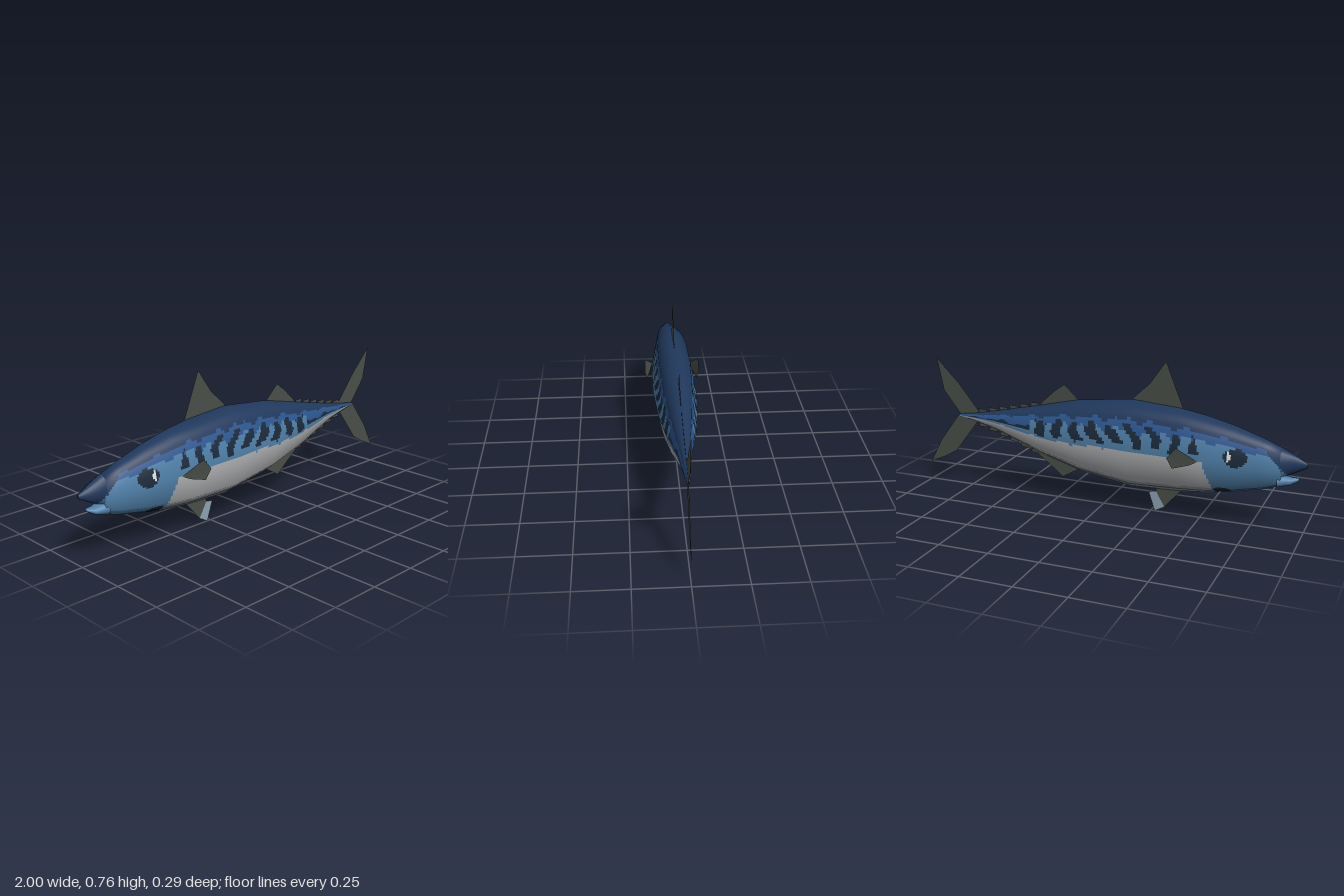
import * as THREE from 'three';

const mat = (name, color, side = THREE.FrontSide) => {
  const m = new THREE.MeshStandardMaterial({ color, side });
  m.name = name;
  return m;
};

// Cross-section from the top round: [half-width factor, height factor]
const RING = [[0, 1], [0.71, 0.853], [1, 0.48], [0.71, 0.142], [0, 0], [-0.71, 0.142], [-1, 0.48], [-0.71, 0.853]];

// Stations along the trunk: [x, bottom, top, half width]
const TRUNK = [
  [-0.885, 0.225, 0.408, 0.046], [-0.8, 0.196, 0.443, 0.064], [-0.66, 0.165, 0.49, 0.085],
  [-0.52, 0.142, 0.525, 0.099], [-0.4, 0.131, 0.545, 0.106], [-0.15, 0.122, 0.565, 0.11],
  [0.12, 0.165, 0.537, 0.096], [0.35, 0.236, 0.484, 0.068], [0.5, 0.294, 0.45, 0.044],
  [0.6, 0.33, 0.428, 0.027], [0.72, 0.362, 0.404, 0.016], [0.81, 0.378, 0.391, 0.005],
];
const UPPER_JAW = [[-1, 0.325, 0.347, 0.008], [-0.95, 0.297, 0.376, 0.026], [-0.88, 0.262, 0.41, 0.046]];
const LOWER_JAW = [[-0.965, 0.258, 0.272, 0.012], [-0.93, 0.235, 0.272, 0.03], [-0.87, 0.218, 0.285, 0.046]];

// Paint indices
const NAVY = 0, BLUE = 1, SKY = 2, SPOT = 3, SILVER = 4, GREY = 5, WHITE = 6;

const inEllipse = (x, y, cx, cy, rx, ry) => ((x - cx) / rx) ** 2 + ((y - cy) / ry) ** 2 < 1;

// Colour of the trunk at x, y; t runs from belly 0 to back 1
function paintTrunk(x, y, t) {
  const wob = Math.sin(x * 37) * 0.02 + Math.sin(x * 71 + 1) * 0.015;
  // head
  if (x < -0.57 + Math.max(0, y - 0.19) * 0.35 && t < 0.8) {
    if (inEllipse(x, y, -0.647, 0.36, 0.01, 0.025)) return WHITE;
    if (inEllipse(x, y, -0.68, 0.355, 0.055, 0.042)) return SPOT;
    if (inEllipse(x, y, -0.61, 0.17, 0.04, 0.025)) return SPOT;
    if (inEllipse(x, y, -0.78, 0.395, 0.04, 0.016)) return BLUE;
    if (y > 0.3 + (x + 0.9) * 1.1) return NAVY;
    return t > 0.73 + wob ? BLUE : SKY;
  }
  const belly = 0.48 - 0.06 * THREE.MathUtils.smoothstep(x, -0.1, 0.3) + wob * 0.4;
  if (t < 0.11 + wob * 0.5 && x < 0.3) return GREY;
  if (t < belly) return SILVER;
  if (t > 0.82 + wob) return NAVY;
  // tail stripes
  if (x > 0.38) {
    if (t < belly + 0.1) return SKY;
    return t < 0.6 + wob * 2 ? SPOT : BLUE;
  }
  if (t < belly + 0.055 + wob * 0.5) return SKY;
  // slanted blotchy bars on the flank
  const bar = Math.sin(x * 62 - t * 9 + Math.sin(t * 16 + x * 9) * 1.1);
  if (t < 0.71 + wob * 1.5) return bar > (x < -0.1 ? 0.1 : -0.25) ? SPOT : SKY;
  if (t < 0.76 + wob) return bar > 0.5 ? SPOT : BLUE;
  return BLUE;
}

// Loft through the stations, subdivided finely so that each cell takes one paint
function loft(stations, paint, materials, name) {
  const n = RING.length, rows = stations.length;
  const pos = [], idx = [];
  for (const [x, lo, hi, w] of stations)
    for (const [rz, ry] of RING) pos.push(x, lo + (hi - lo) * ry, w * rz);
  for (let i = 0; i < rows - 1; i++) for (let j = 0; j < n; j++) {
    const a = i * n + j, c = i * n + (j + 1) % n, b = a + n, d = c + n;
    idx.push(a, c, b, c, d, b);
  }
  const coarse = new THREE.BufferGeometry();
  coarse.setAttribute('position', new THREE.Float32BufferAttribute(pos, 3));
  coarse.setIndex(idx);
  coarse.computeVertexNormals();

  const P = [], N = [], byPaint = materials.map(() => []);
  const at = (attr, k) => new THREE.Vector3().fromBufferAttribute(attr, k);
  const S = 10;
  for (let i = 0; i < rows - 1; i++) {
    const steps = Math.ceil((stations[i + 1][0] - stations[i][0]) / 0.01);
    for (let j = 0; j < n; j++) {
      const a = i * n + j, c = i * n + (j + 1) % n;
      const mix = (attr, u, v) => at(attr, a).lerp(at(attr, c), v)
        .lerp(at(attr, a + n).lerp(at(attr, c + n), v), u);
      const base = P.length / 3;
      for (let p = 0; p <= steps; p++) for (let q = 0; q <= S; q++) {
        P.push(...mix(coarse.attributes.position, p / steps, q / S));
        N.push(...mix(coarse.attributes.normal, p / steps, q / S).normalize());
      }
      for (let p = 0; p < steps; p++) for (let q = 0; q < S; q++) {
        const u = (p + 0.5) / steps, v = (q + 0.5) / S;
        const m = mix(coarse.attributes.position, u, v);
        const lo = THREE.MathUtils.lerp(stations[i][1], stations[i + 1][1], u);
        const hi = THREE.MathUtils.lerp(stations[i][2], stations[i + 1][2], u);
        const k = base + p * (S + 1) + q, r = k + S + 1;
        byPaint[paint(m.x, m.y, (m.y - lo) / (hi - lo))].push(k, k + 1, r, k + 1, r + 1, r);
      }
    }
  }
  const g = new THREE.BufferGeometry();
  g.setAttribute('position', new THREE.Float32BufferAttribute(P, 3));
  g.setAttribute('normal', new THREE.Float32BufferAttribute(N, 3));
  g.setIndex(byPaint.flat());
  let start = 0;
  byPaint.forEach((list, k) => {
    if (list.length) g.addGroup(start, list.length, k);
    start += list.length;
  });
  const mesh = new THREE.Mesh(g, materials);
  mesh.name = name;
  return mesh;
}

export function createModel() {
  const fish = new THREE.Group();
  fish.name = 'fish';
  const skin = [
    mat('navyBack', 0x20385c), mat('midBlue', 0x2c568f), mat('skyBlue', 0x4f7fa8), mat('darkSpot', 0x1c2a3b),
    mat('silverBelly', 0xafb0b3), mat('greyBelly', 0x8f979f), mat('eyeWhite', 0xdfe3e6),
  ];
  const finMat = mat('oliveFin', 0x4a4f47, THREE.DoubleSide);
  const paleMat = mat('paleFin', 0x8fa3b3, THREE.DoubleSide);

  // Body, closed at the front behind the mouth
  const front = [...TRUNK[0]];
  front[0] -= 0.002; front[1] = front[2] = 0.27; front[3] = 0;
  fish.add(loft([front, ...TRUNK], paintTrunk, skin, 'body'));
  const snoutPoint = (s) => [s[0][0] - 0.001, (s[0][1] + s[0][2]) / 2, (s[0][1] + s[0][2]) / 2, 0];
  fish.add(loft([snoutPoint(UPPER_JAW), ...UPPER_JAW],
    (x, y) => (y < 0.3 + (x + 0.9) * 1.1 && x > -0.92 ? SKY : NAVY), skin, 'upperJaw'));
  fish.add(loft([snoutPoint(LOWER_JAW), ...LOWER_JAW], () => SKY, skin, 'lowerJaw'));

  // Flat fins in the middle plane
  const fin = (name, pts, material = finMat) => {
    const mesh = new THREE.Mesh(new THREE.ShapeGeometry(
      new THREE.Shape(pts.map(([x, y]) => new THREE.Vector2(x, y)))), material);
    mesh.name = name;
    fish.add(mesh);
  };
  fin('firstDorsalFin', [[-0.41, 0.53], [-0.315, 0.765], [-0.235, 0.65], [-0.15, 0.57], [-0.15, 0.54]]);
  fin('secondDorsalFin', [[0.12, 0.52], [0.21, 0.605], [0.265, 0.565], [0.345, 0.49], [0.33, 0.47]]);
  fin('analFin', [[0.12, 0.18], [0.225, 0.12], [0.28, 0.165], [0.36, 0.225], [0.33, 0.25]]);
  fin('pelvicFin', [[-0.41, 0.14], [-0.32, 0.035], [-0.275, 0.112], [-0.28, 0.14]]);
  fin('pelvicFinTip', [[-0.32, 0.035], [-0.27, 0.008], [-0.237, 0.105], [-0.275, 0.112]], paleMat);
  fin('upperTailLobe', [[0.68, 0.395], [0.81, 0.555], [0.935, 0.68], [0.9, 0.51], [0.81, 0.395], [0.78, 0.38]]);
  fin('lowerTailLobe', [[0.69, 0.38], [0.84, 0.185], [0.915, 0.142], [1, 0.105], [0.93, 0.235], [0.81, 0.395]]);

  // Finlets along the tail stalk
  const edge = (x, k) => {
    const i = TRUNK.findIndex((s) => s[0] > x), a = TRUNK[i - 1], b = TRUNK[i];
    return THREE.MathUtils.mapLinear(x, a[0], b[0], a[k], b[k]);
  };
  for (let i = 0; i < 6; i++) {
    const x = 0.345 + i * 0.06;
    for (const [name, k, s] of [['upperFinlet', 2, 1], ['lowerFinlet', 1, -1]])
      fin(name, [[x, edge(x, k) - s * 0.01], [x + 0.005, edge(x, k) + s * 0.008],
        [x + 0.055, edge(x + 0.055, k) + s * 0.022], [x + 0.045, edge(x + 0.045, k) - s * 0.01]]);
  }

  // Pectoral fins, flared out from each flank
  for (const s of [1, -1]) {
    const g = new THREE.BufferGeometry();
    g.setAttribute('position', new THREE.Float32BufferAttribute([
      -0.51, 0.325, 0.1 * s, -0.415, 0.392, 0.141 * s, -0.37, 0.34, 0.143 * s,
      -0.395, 0.287, 0.132 * s, -0.47, 0.305, 0.112 * s], 3));
    g.setIndex([0, 2, 1, 0, 3, 2, 0, 4, 3]);
    g.computeVertexNormals();
    const mesh = new THREE.Mesh(g, finMat);
    mesh.name = s > 0 ? 'frontPectoralFin' : 'backPectoralFin';
    fish.add(mesh);
  }
  return fish;
}
